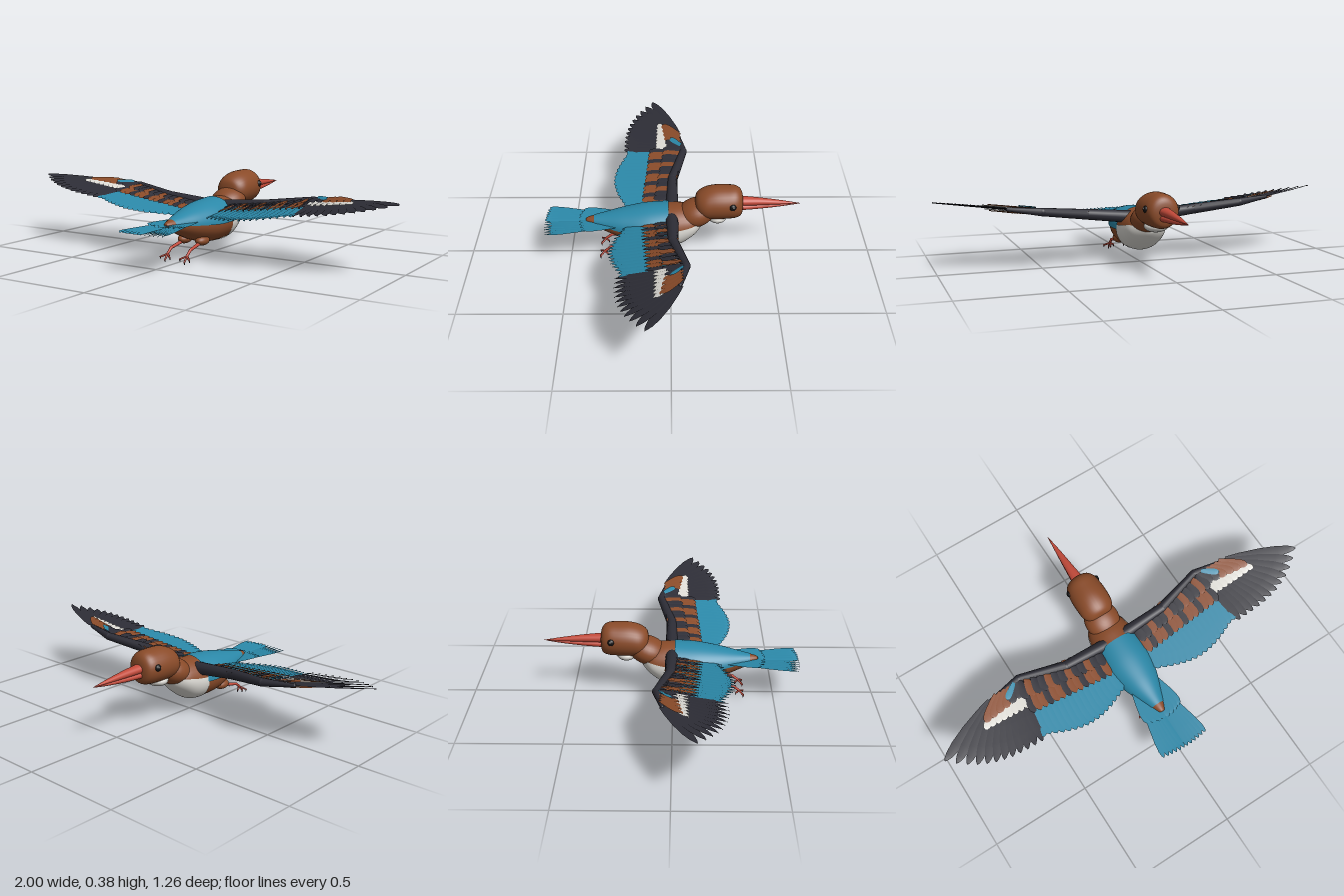
import * as THREE from 'three';

const mat = (name, color, side = THREE.DoubleSide) => {
  const m = new THREE.MeshStandardMaterial({ color, side });
  m.name = name;
  return m;
};
const brown = mat('chestnut brown', 0x8a4b29);
const teal = mat('teal blue', 0x2b88a8);
const dark = mat('charcoal', 0x2d2d36);
const white = mat('off white', 0xdcdad4);
const red = mat('coral red', 0xc34a3a);
const black = mat('eye black', 0x121214);

function add(parent, name, geo, material) {
  const mesh = new THREE.Mesh(geo, material);
  mesh.name = name;
  parent.add(mesh);
  return mesh;
}

function build(pos, idx) {
  const g = new THREE.BufferGeometry();
  g.setAttribute('position', new THREE.Float32BufferAttribute(pos, 3));
  g.setIndex(idx);
  g.computeVertexNormals();
  return g;
}

// Smooth skin over elliptical sections [z, centre y, half width, half height], z rising
function loft(sections, { t0 = 0, t1 = 1, a0 = 0, a1 = Math.PI * 2, grow = 1, rows = 36, n = 32 } = {}) {
  const curve = f => new THREE.CatmullRomCurve3(sections.map(f), false, 'catmullrom');
  const spine = curve(s => new THREE.Vector3(s[0], s[1], 0));
  const size = curve(s => new THREE.Vector3(s[2], s[3], 0));
  const full = a1 - a0 > 6.28, cols = full ? n : n + 1;
  const pos = [], idx = [];
  for (let i = 0; i <= rows; i++) {
    const t = t0 + (t1 - t0) * i / rows, c = spine.getPoint(t), r = size.getPoint(t);
    for (let j = 0; j < cols; j++) {
      const a = a0 + (a1 - a0) * j / n;
      pos.push(Math.cos(a) * r.x * grow, c.y + Math.sin(a) * r.y * grow, c.x);
    }
  }
  for (let i = 0; i < rows; i++) for (let j = 0; j < n; j++) {
    const p = i * cols + j, q = i * cols + (j + 1) % cols;
    idx.push(p, q, p + cols, q, q + cols, p + cols);
  }
  return build(pos, idx);
}

function ellipsoid(parent, name, material, p, r, tilt = 0) {
  const m = add(parent, name, new THREE.SphereGeometry(1, 28, 18), material);
  m.position.set(...p);
  m.scale.set(...r);
  m.rotation.x = tilt;
}

// Tapered rod between two points with a rounded far end
function limb(parent, name, material, a, b, ra, rb) {
  const A = new THREE.Vector3(...a), B = new THREE.Vector3(...b), d = B.clone().sub(A);
  const rod = add(parent, name, new THREE.CylinderGeometry(rb, ra, d.length(), 12), material);
  rod.position.copy(A).add(B).multiplyScalar(0.5);
  rod.quaternion.setFromUnitVectors(new THREE.Vector3(0, 1, 0), d.normalize());
  ellipsoid(parent, name + 'End', material, b, [rb, rb, rb]);
}

const STEPS = [0, 0.2, 0.5, 0.75, 0.9, 0.97, 1];
const BLUNT = [0.5, 0.75, 0.95, 1, 0.8, 0.45, 0.02];
const POINTED = [0.5, 0.8, 1, 0.9, 0.6, 0.3, 0.02];

// Thin feather from root to tip ([x, z]) lying on surface height(x, z), with a raised shaft and shingle tilt
function feather(parent, name, material, side, root, tip, width, height, profile = BLUNT) {
  const dx = tip[0] - root[0], dz = tip[1] - root[1], len = Math.hypot(dx, dz);
  const pos = [], idx = [];
  STEPS.forEach((t, i) => {
    for (const c of [-1, 0, 1]) {
      const w = c * profile[i] * width / 2;
      const x = root[0] + dx * t + dz / len * w, z = root[1] + dz * t - dx / len * w;
      pos.push(side * x, height(x, z) + (c ? 0 : 0.002) + c * 0.003, z);
    }
    if (i) for (let j = 0; j < 2; j++) {
      const p = (i - 1) * 3 + j, q = p + 3;
      idx.push(...(side > 0 ? [p, q, p + 1, p + 1, q, q + 1] : [p, p + 1, q, p + 1, q + 1, q]));
    }
  });
  add(parent, name, build(pos, idx), material);
}

// Row of feathers; root, tip and material are functions of u in 0..1 and the index
function row(parent, name, count, side, material, root, tip, width, height, profile) {
  const g = new THREE.Group();
  g.name = name;
  parent.add(g);
  for (let i = 0; i < count; i++) {
    const u = i / (count - 1), m = typeof material === 'function' ? material(i) : material;
    feather(g, name + 'Feather', m, side, root(u), tip(u), width, height, profile);
  }
}

function makeWing(s) {
  const wing = new THREE.Group();
  wing.name = s > 0 ? 'leftWing' : 'rightWing';
  const plane = lift => (x, z) => 0.225 + 0.095 * x + 0.02 * x * x - 0.1 * z + lift;

  // Leading edge of the arm
  const arm = [[0.05, -0.005, 0.032], [0.28, -0.01, 0.026], [0.51, -0.068, 0.02], [0.67, -0.04, 0.009]];
  const at = p => [s * p[0], plane(0)(p[0], p[1]), p[1]];
  for (let i = 0; i < 3; i++)
    limb(wing, 'wingArm', dark, at(arm[i]), at(arm[i + 1]), arm[i][2], arm[i + 1][2]);

  // Flight feathers
  row(wing, 'secondaries', 16, s, teal, u => [0.1 + 0.42 * u, 0],
    u => [0.11 + 0.44 * u, 0.235 + 0.06 * Math.sin(Math.PI * Math.min(1, u * 1.05))], 0.054, plane(-0.003));
  row(wing, 'primaries', 12, s, dark, u => [0.52 + 0.16 * u, -0.02 - 0.02 * u],
    u => [0.57 + 0.43 * u, 0.25 - 0.145 * u ** 3], 0.056, plane(0), POINTED);

  // Checkered upper coverts
  row(wing, 'greaterCoverts', 14, s, i => (i % 3 === 1 ? dark : brown), u => [0.11 + 0.4 * u, -0.02],
    u => [0.12 + 0.41 * u, 0.145 - 0.03 * u], 0.042, plane(0.007));
  row(wing, 'lesserCoverts', 13, s, i => (i % 3 === 2 ? brown : dark), u => [0.11 + 0.4 * u, -0.02 - 0.04 * u],
    u => [0.12 + 0.41 * u, 0.085 - 0.045 * u], 0.042, plane(0.013));

  // Hand coverts: white band, brown patch and a teal fleck
  row(wing, 'whiteBand', 8, s, white, u => [0.52 + 0.13 * u, -0.03 + 0.02 * u],
    u => [0.55 + 0.22 * u, 0.08 - 0.01 * u], 0.038, plane(0.009));
  row(wing, 'handCoverts', 6, s, i => (i < 2 ? dark : brown), u => [0.52 + 0.12 * u, -0.05],
    u => [0.56 + 0.19 * u, 0.02 + 0.025 * u], 0.042, plane(0.015));
  feather(wing, 'tealFleck', teal, s, [0.54, -0.055], [0.61, 0.0], 0.028, plane(0.021));

  // Underwing lining
  row(wing, 'underCoverts', 13, s, brown, u => [0.1 + 0.42 * u, -0.01 - 0.04 * u],
    u => [0.11 + 0.43 * u, 0.13 - 0.02 * u], 0.055, plane(-0.012));
  row(wing, 'underHandWhite', 6, s, white, u => [0.54 + 0.12 * u, -0.03],
    u => [0.57 + 0.19 * u, 0.105 - 0.03 * u], 0.04, plane(-0.008));
  row(wing, 'underHandCoverts', 7, s, brown, u => [0.53 + 0.12 * u, -0.04],
    u => [0.55 + 0.19 * u, 0.085 - 0.03 * u], 0.048, plane(-0.014));
  return wing;
}

function makeLeg(s) {
  const leg = new THREE.Group();
  leg.name = s > 0 ? 'leftLeg' : 'rightLeg';
  ellipsoid(leg, 'thigh', brown, [s * 0.05, 0.09, 0.19], [0.03, 0.024, 0.045]);
  const ankle = [s * 0.055, 0.062, 0.3], foot = [s * 0.055, 0.038, 0.33];
  limb(leg, 'shank', red, [s * 0.05, 0.083, 0.2], ankle, 0.009, 0.007);
  limb(leg, 'foot', red, ankle, foot, 0.007, 0.006);
  for (const [x, y, z] of [[0.028, 0.024, 0.35], [0.055, 0.012, 0.352], [0.082, 0.024, 0.35], [0.055, 0.024, 0.315]]) {
    limb(leg, 'toe', red, foot, [s * x, y, z], 0.005, 0.004);
    limb(leg, 'claw', dark, [s * x, y, z], [s * x, y - 0.01, z - 0.002], 0.0035, 0.0015);
  }
  return leg;
}

export function createModel() {
  const bird = new THREE.Group();
  bird.name = 'bird';

  // Body with teal mantle and white breast shells
  const body = [
    [-0.16, 0.195, 0.002, 0.002], [-0.15, 0.198, 0.045, 0.035], [-0.11, 0.19, 0.09, 0.07],
    [-0.05, 0.175, 0.108, 0.098], [0.01, 0.168, 0.115, 0.104], [0.12, 0.166, 0.115, 0.098],
    [0.23, 0.172, 0.088, 0.074], [0.32, 0.18, 0.055, 0.046], [0.41, 0.188, 0.018, 0.017], [0.42, 0.189, 0.002, 0.002]];
  add(bird, 'body', loft(body), brown);
  add(bird, 'mantle', loft(body, { t0: 4 / 9, t1: 7.6 / 9, a0: 0, a1: Math.PI, grow: 1.05 }), teal);
  add(bird, 'breast', loft(body, { t0: 0, t1: 4.1 / 9, a0: Math.PI - 0.22, a1: Math.PI * 2 + 0.22, grow: 1.03 }), white);

  // Neck and head
  ellipsoid(bird, 'neck', brown, [0, 0.235, -0.125], [0.088, 0.068, 0.1], 0.35);
  add(bird, 'head', loft([
    [-0.357, 0.29, 0.002, 0.002], [-0.348, 0.292, 0.055, 0.058], [-0.32, 0.297, 0.078, 0.08],
    [-0.27, 0.297, 0.087, 0.084], [-0.21, 0.295, 0.088, 0.084], [-0.16, 0.29, 0.081, 0.074],
    [-0.127, 0.29, 0.052, 0.048], [-0.118, 0.29, 0.002, 0.002]]), brown);
  ellipsoid(bird, 'throatPatch', white, [0, 0.217, -0.23], [0.06, 0.03, 0.05]);
  for (const s of [1, -1]) {
    ellipsoid(bird, 'eye', black, [s * 0.077, 0.31, -0.3], [0.014, 0.017, 0.017]);
    ellipsoid(bird, 'eyeGlint', white, [s * 0.089, 0.315, -0.304], [0.003, 0.004, 0.004]);
  }

  // Upper and lower beak
  add(bird, 'upperBeak', loft([[-0.635, 0.286, 0.001, 0.001], [-0.54, 0.292, 0.012, 0.01],
    [-0.44, 0.297, 0.021, 0.018], [-0.335, 0.301, 0.031, 0.023]]), red);
  add(bird, 'lowerBeak', loft([[-0.625, 0.284, 0.001, 0.001], [-0.54, 0.278, 0.01, 0.008],
    [-0.44, 0.273, 0.019, 0.014], [-0.335, 0.27, 0.028, 0.018]]), red);

  // Tail fan and its coverts, mirrored about the middle
  for (const s of [1, -1]) {
    row(bird, 'tail', 6, s, teal, u => [0.005 + 0.04 * u, 0.28],
      u => [0.01 + 0.11 * u, 0.625 - 0.012 * u * u], 0.036, () => 0.182);
    row(bird, 'tailCoverts', 4, s, teal, u => [0.005 + 0.05 * u, 0.24],
      u => [0.015 + 0.075 * u, 0.455 - 0.02 * u * u], 0.05, () => 0.19);
    bird.add(makeWing(s), makeLeg(s));
  }
  return bird;
}
